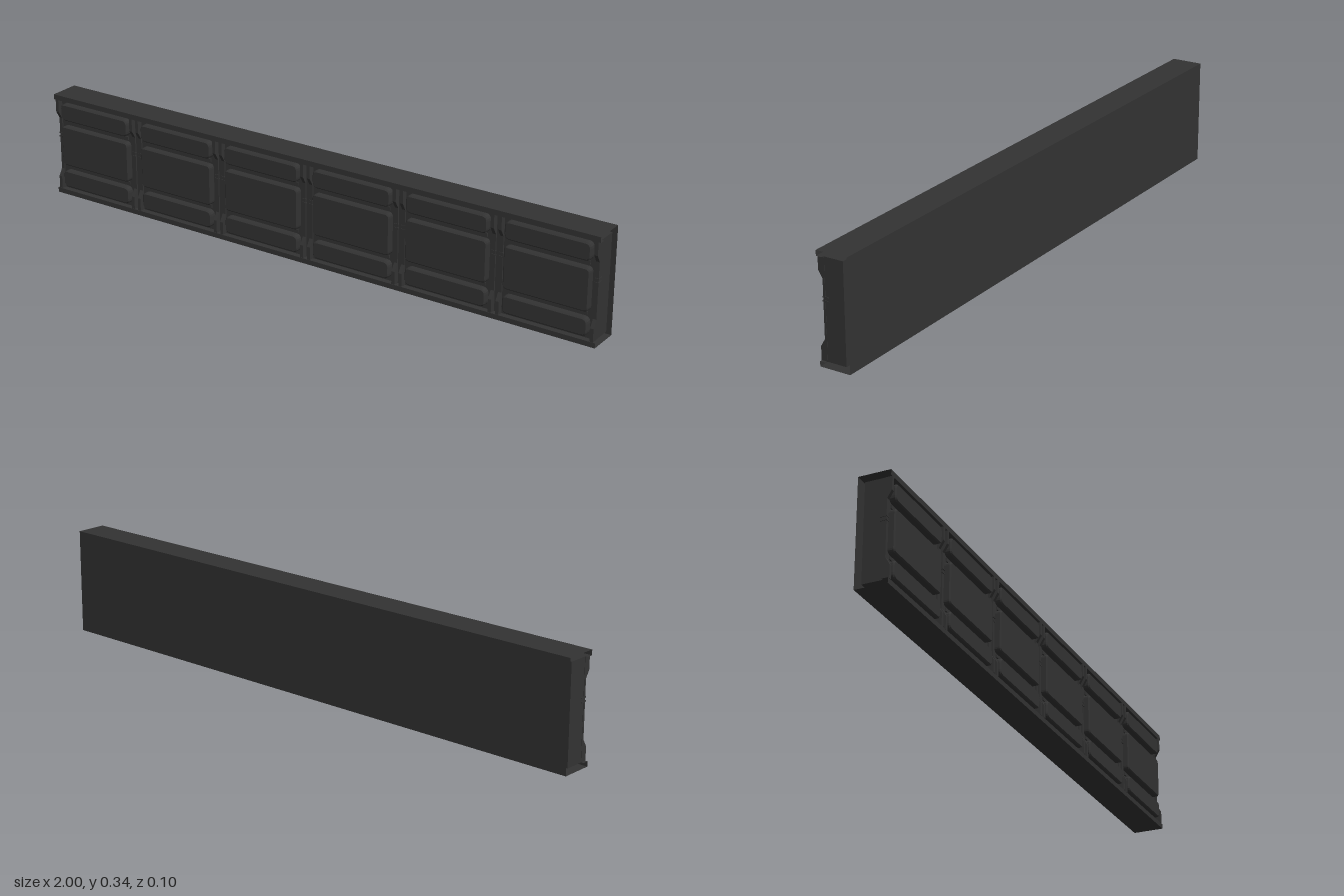
import * as THREE from 'three';

const mat = new THREE.MeshStandardMaterial({ color: 0x333333 });
const sheetMat = new THREE.MeshStandardMaterial({ color: 0x333333, side: THREE.DoubleSide });

const H = 0.345, BACK = -0.052, RIM = 0.05, FIELD = 0.031, POST = 0.036, END = 0.992;

function add(parent, name, geometry, x = 0, y = 0, z = 0, material = mat) {
  const mesh = new THREE.Mesh(geometry, material);
  mesh.name = name;
  mesh.position.set(x, y, z);
  parent.add(mesh);
  return mesh;
}

// box given by its limits
function block(parent, name, x0, x1, y0, y1, z0, z1) {
  return add(parent, name, new THREE.BoxGeometry(x1 - x0, y1 - y0, z1 - z0),
    (x0 + x1) / 2, (y0 + y1) / 2, (z0 + z1) / 2);
}

// open sheet: a (z, y) profile swept along x
function sweptSheet(profile, halfLength) {
  const pos = [];
  for (let i = 0; i < profile.length - 1; i++) {
    const [za, ya] = profile[i], [zb, yb] = profile[i + 1];
    const L = halfLength;
    pos.push(-L, ya, za, -L, yb, zb, L, yb, zb, -L, ya, za, L, yb, zb, L, ya, za);
  }
  const g = new THREE.BufferGeometry();
  g.setAttribute('position', new THREE.Float32BufferAttribute(pos, 3));
  g.computeVertexNormals();
  return g;
}

// raised panel with rounded corners and a bevelled front edge
function raisedPanel(w, h, r, depth) {
  const b = 0.004, x = w / 2 - b, y = h / 2 - b;
  const s = new THREE.Shape();
  s.moveTo(-x + r, -y);
  s.lineTo(x - r, -y);
  s.quadraticCurveTo(x, -y, x, -y + r);
  s.lineTo(x, y - r);
  s.quadraticCurveTo(x, y, x - r, y);
  s.lineTo(-x + r, y);
  s.quadraticCurveTo(-x, y, -x, y - r);
  s.lineTo(-x, -y + r);
  s.quadraticCurveTo(-x, -y, -x + r, -y);
  return new THREE.ExtrudeGeometry(s, {
    depth: depth - b, bevelEnabled: true, bevelThickness: b, bevelSize: b,
    bevelSegments: 1, curveSegments: 4,
  });
}

// bracket with a sloped end, joining a post to the upper rim
function gusset(width) {
  const s = new THREE.Shape();
  s.moveTo(-FIELD, 0.328);
  s.lineTo(-FIELD, 0.262);
  s.lineTo(-POST, 0.262);
  s.lineTo(-RIM, 0.286);
  s.lineTo(-RIM, 0.328);
  const g = new THREE.ExtrudeGeometry(s, { depth: width, bevelEnabled: false });
  g.translate(0, 0, -width / 2);
  g.rotateY(Math.PI / 2);
  // shape x becomes -z, extrusion runs along x
  return g;
}

export function createModel() {
  const model = new THREE.Group();
  model.name = 'panelledBeam';

  // outer skin: top, back, bottom and the two front rims
  add(model, 'outerSkin', sweptSheet([
    [FIELD, 0.328], [RIM, 0.328], [RIM, H], [BACK, H],
    [BACK, 0], [RIM, 0], [RIM, 0.016], [FIELD, 0.016],
  ], 1), 0, 0, 0, sheetMat);

  // inner core closing the ends and backing the panels
  block(model, 'core', -END, END, 0.016, 0.328, -0.034, FIELD);

  // six bays, each with three raised panels
  const rows = [
    ['upperPanel', 0.262, 0.319, 0.014],
    ['middlePanel', 0.105, 0.241, 0.01],
    ['lowerPanel', 0.028, 0.085, 0.014],
  ];
  for (let i = 0; i < 6; i++) {
    const bay = new THREE.Group();
    bay.name = 'bay' + (i + 1);
    bay.position.x = (i - 2.5) / 3;
    for (const [name, y0, y1, r] of rows) {
      add(bay, name, raisedPanel(0.278, y1 - y0, r, 0.052 - FIELD + 0.004),
        0, (y0 + y1) / 2, FIELD - 0.004);
    }
    // shallow ledges between the rows
    block(bay, 'upperLedge', -0.13, 0.13, 0.246, 0.257, FIELD - 0.002, 0.035);
    block(bay, 'lowerLedge', -0.13, 0.13, 0.09, 0.1, FIELD - 0.002, 0.035);
    model.add(bay);
  }

  // posts: paired strips with a seam, brackets and small cross ties
  for (let i = 0; i < 7; i++) {
    const post = new THREE.Group();
    post.name = 'post' + (i + 1);
    const x = (i - 3) / 3;
    post.position.x = x;
    for (const side of [-1, 1]) {
      if (Math.abs(x + side * 0.01) > 1) continue;
      const cx = side * 0.0125, w = 0.011;
      block(post, 'postStrip', cx - w / 2, cx + w / 2, 0.016, 0.328, FIELD - 0.002, POST);
      add(post, 'upperBracket', gusset(w), cx);
      const lower = add(post, 'lowerBracket', gusset(w), cx, H);
      lower.rotation.x = Math.PI;
      lower.geometry.scale(1, 1, -1);
      // restore face order after the mirror
      const p = lower.geometry.attributes.position;
      for (let k = 0; k < p.count; k += 3) {
        const a = new THREE.Vector3().fromBufferAttribute(p, k);
        const b = new THREE.Vector3().fromBufferAttribute(p, k + 1);
        p.setXYZ(k, b.x, b.y, b.z);
        p.setXYZ(k + 1, a.x, a.y, a.z);
      }
      lower.geometry.computeVertexNormals();
      for (const y of [0.197, 0.209]) {
        block(post, 'crossTie', cx - 0.007, cx + 0.007, y - 0.002, y + 0.002, FIELD, POST + 0.002);
      }
    }
    model.add(post);
  }

  // small ties on both end faces
  for (const side of [-1, 1]) {
    for (const y of [0.197, 0.209]) {
      add(model, 'endTie', new THREE.BoxGeometry(0.004, 0.004, 0.018), side * END, y, 0.026);
    }
  }
  return model;
}
